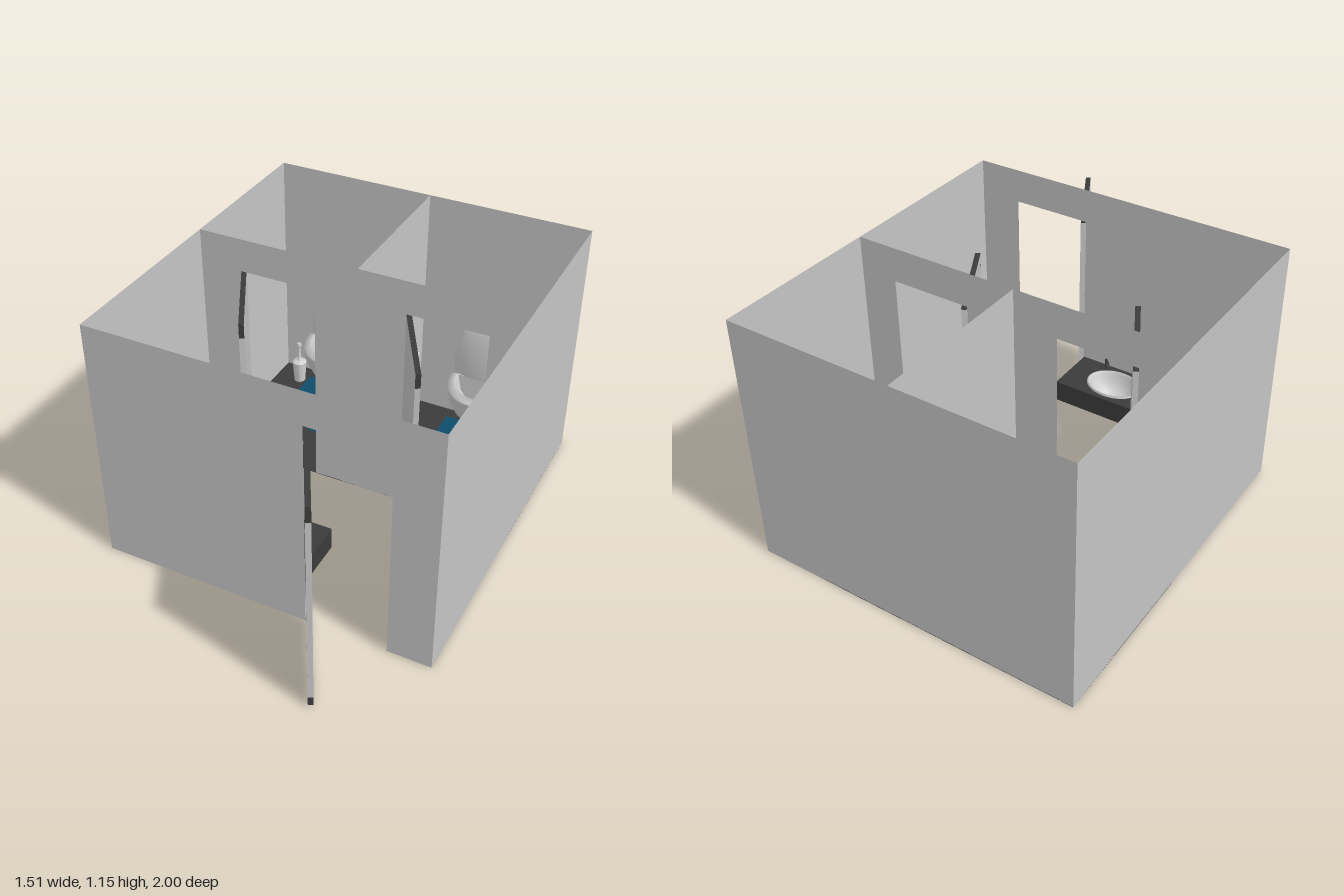
import * as THREE from 'three';
import { toCreasedNormals } from 'three/addons/utils/BufferGeometryUtils.js';

const material = (name, color, side = THREE.FrontSide) => {
  const m = new THREE.MeshStandardMaterial({ color, side });
  m.name = name;
  return m;
};

export function createModel() {
  const wall = material('wall grey', 0xc4c4c4, THREE.DoubleSide);
  const dark = material('charcoal', 0x3b3b3b);
  const blue = material('blue mat', 0x0d4d6a);
  const white = material('porcelain', 0xd0d0d0, THREE.DoubleSide);

  const model = new THREE.Group();
  model.name = 'washroom';
  const H = 1.147, W = 0.755, BACK = -1, MID = -0.25, FRONT = 0.61, DOOR_H = 0.992;

  const add = (parent, name, geometry, mat, x = 0, y = 0, z = 0) => {
    const mesh = new THREE.Mesh(geometry, mat);
    mesh.name = name;
    mesh.position.set(x, y, z);
    parent.add(mesh);
    return mesh;
  };
  // box given by its min and max corners
  const box = (parent, name, mat, x0, x1, y0, y1, z0, z1) =>
    add(parent, name, new THREE.BoxGeometry(x1 - x0, y1 - y0, z1 - z0), mat,
      (x0 + x1) / 2, (y0 + y1) / 2, (z0 + z1) / 2);
  const lathe = (points, start = 0, sweep = Math.PI * 2) => toCreasedNormals(
    new THREE.LatheGeometry(points.map(p => new THREE.Vector2(...p)), 40, start, sweep), 0.7);

  // sheet wall across x, notched for each door opening
  const crossWall = (name, z, openings) => {
    const s = new THREE.Shape();
    s.moveTo(-W, 0);
    for (const [a, b] of openings) {
      s.lineTo(a, 0); s.lineTo(a, DOOR_H); s.lineTo(b, DOOR_H); s.lineTo(b, 0);
    }
    s.lineTo(W, 0); s.lineTo(W, H); s.lineTo(-W, H); s.closePath();
    add(model, name, new THREE.ShapeGeometry(s), wall, 0, 0, z);
  };
  crossWall('backWall', BACK, []);
  crossWall('stallFrontWall', MID, [[-0.555, -0.2], [0.225, 0.585]]);
  crossWall('frontWall', FRONT, [[0.2, 0.562]]);

  // sheet wall along z
  const sideWall = (name, x, z0, z1) => {
    const m = add(model, name, new THREE.PlaneGeometry(z1 - z0, H), wall, x, H / 2, (z0 + z1) / 2);
    m.rotation.y = Math.PI / 2;
  };
  sideWall('leftWall', W, BACK, FRONT);
  sideWall('rightWall', -W, BACK, FRONT);
  sideWall('partition', 0, BACK, MID);

  // doors standing ajar, hinged at (x, z)
  const door = (name, x, z) => {
    const g = new THREE.Group();
    g.name = name;
    g.position.set(x, 0, z);
    g.rotation.y = 0.5;
    const L = 0.445, T = 0.011;
    box(g, 'doorPanel', wall, -T, T, 0.014, DOOR_H - 0.004, 0, L);
    box(g, 'doorTopEdge', dark, -T, T, DOOR_H - 0.004, DOOR_H, 0, L);
    box(g, 'doorBottomEdge', dark, -T, T, 0.01, 0.014, 0, L);
    box(g, 'doorUpperTip', dark, -T, T, 0.925, DOOR_H, L, L + 0.003);
    box(g, 'doorLowerTip', dark, -T, T, 0.01, 0.05, L, L + 0.003);
    model.add(g);
  };
  door('frontDoor', 0.21, 0.602);
  door('rightStallDoor', -0.555, -0.27);
  door('leftStallDoor', 0.225, -0.27);

  // toilet, facing +z, centred on x = 0
  const toilet = side => {
    const g = new THREE.Group();
    g.name = 'toilet';
    const bowl = lathe([[0.3, 0.17], [0.55, 0.17], [0.78, 0.21], [0.92, 0.27], [1, 0.335],
      [0.98, 0.345], [0.77, 0.345], [0.75, 0.33], [0.66, 0.26], [0.42, 0.21], [0, 0.19]],
      -Math.PI / 2, Math.PI);
    add(g, 'bowl', bowl, white, 0, 0, -0.84).scale.set(0.16, 1, 0.205);
    box(g, 'bowlBack', white, -0.125, 0.125, 0.17, 0.343, -0.99, -0.838);
    const foot = lathe([[0, 0], [0.095, 0], [0.085, 0.06], [0.075, 0.18], [0, 0.18]]);
    add(g, 'pedestal', foot, white, 0, 0.002, -0.85).scale.z = 1.35;
    box(g, 'tank', white, -0.14, 0.14, 0.34, 0.592, -0.995, -0.92);
    box(g, 'tankLid', white, -0.152, 0.152, 0.592, 0.622, -0.999, -0.913);
    box(g, 'flushButton', white, side * 0.095 - 0.03, side * 0.095 + 0.03, 0.622, 0.632, -0.985, -0.938);
    const lid = new THREE.SphereGeometry(1, 40, 20, 0, Math.PI * 2, 0, 1.94);
    add(g, 'raisedLid', lid, white, 0, 0.42, -0.87).scale.set(0.16, 0.215, 0.043);
    return g;
  };

  // stalls: floor, mat, toilet, brush and paper, one per side
  for (const side of [-1, 1]) {
    const stall = new THREE.Group();
    stall.name = side > 0 ? 'leftStall' : 'rightStall';
    model.add(stall);
    const across = (name, mat, a, b, ...rest) =>
      box(stall, name, mat, Math.min(side * a, side * b), Math.max(side * a, side * b), ...rest);
    across('floor', dark, 0.001, W, 0.001, 0.004, BACK, MID);
    across('floorMat', blue, 0.178, 0.59, 0, 0.005, -0.937, -0.525);

    const t = toilet(side);
    t.position.x = side * 0.38;
    stall.add(t);

    const holder = lathe([[0.028, 0], [0.036, 0.11], [0.032, 0.115], [0.014, 0.12],
      [0.008, 0.13], [0.008, 0.2], [0.012, 0.205], [0.01, 0.22], [0, 0.222]]);
    add(stall, 'toiletBrush', holder, white, side * 0.63, 0.004, -0.893);

    const roll = new THREE.CylinderGeometry(0.017, 0.017, 0.07, 24);
    add(stall, 'paperRoll', roll, white, side * 0.044, 0.4, -0.793).rotation.x = Math.PI / 2;
    across('paperBracket', dark, 0.001, 0.064, 0.39, 0.41, -0.757, -0.737);
    across('paperSpindle', dark, 0.04, 0.048, 0.396, 0.404, -0.84, -0.757);
  }

  // floating counter with two oval openings
  const basinX = [-0.52, -0.048], basinZ = 0.47, RX = 0.13, RZ = 0.098;
  const top = new THREE.Shape();
  top.moveTo(-W + 0.002, -0.595);
  top.lineTo(0.186, -0.595); top.lineTo(0.186, -0.35); top.lineTo(-W + 0.002, -0.35);
  top.closePath();
  for (const x of basinX) {
    const hole = new THREE.Path();
    hole.absellipse(x, -basinZ, RX * 0.94, RZ * 0.94, 0, Math.PI * 2, true);
    top.holes.push(hole);
  }
  const slab = new THREE.ExtrudeGeometry(top, { depth: 0.095, bevelEnabled: false, curveSegments: 24 });
  add(model, 'counter', slab, dark, 0, 0.19, 0).rotation.x = -Math.PI / 2;
  box(model, 'counterBase', dark, -W + 0.002, 0.186, 0.185, 0.19, 0.35, 0.595);

  // basins with drains and taps
  basinX.forEach((x, i) => {
    const bowl = lathe([[1, 0.285], [0.99, 0.293], [0.93, 0.293], [0.9, 0.283],
      [0.78, 0.245], [0.5, 0.21], [0, 0.198]]);
    add(model, 'basin', bowl, white, x, 0, basinZ).scale.set(RX, 1, RZ);
    add(model, 'drain', new THREE.CylinderGeometry(0.011, 0.011, 0.006, 16), dark, x, 0.201, basinZ);
    const s = i ? 1 : -1;
    const tap = new THREE.CatmullRomCurve3([
      [0.1, 0.285, 0.1], [0.1, 0.33, 0.1], [0.085, 0.345, 0.08], [0.062, 0.335, 0.062],
    ].map(([px, py, pz]) => new THREE.Vector3(x + s * px, py, basinZ + pz)));
    add(model, 'tap', new THREE.TubeGeometry(tap, 16, 0.005, 10), dark);
  });

  return model;
}
